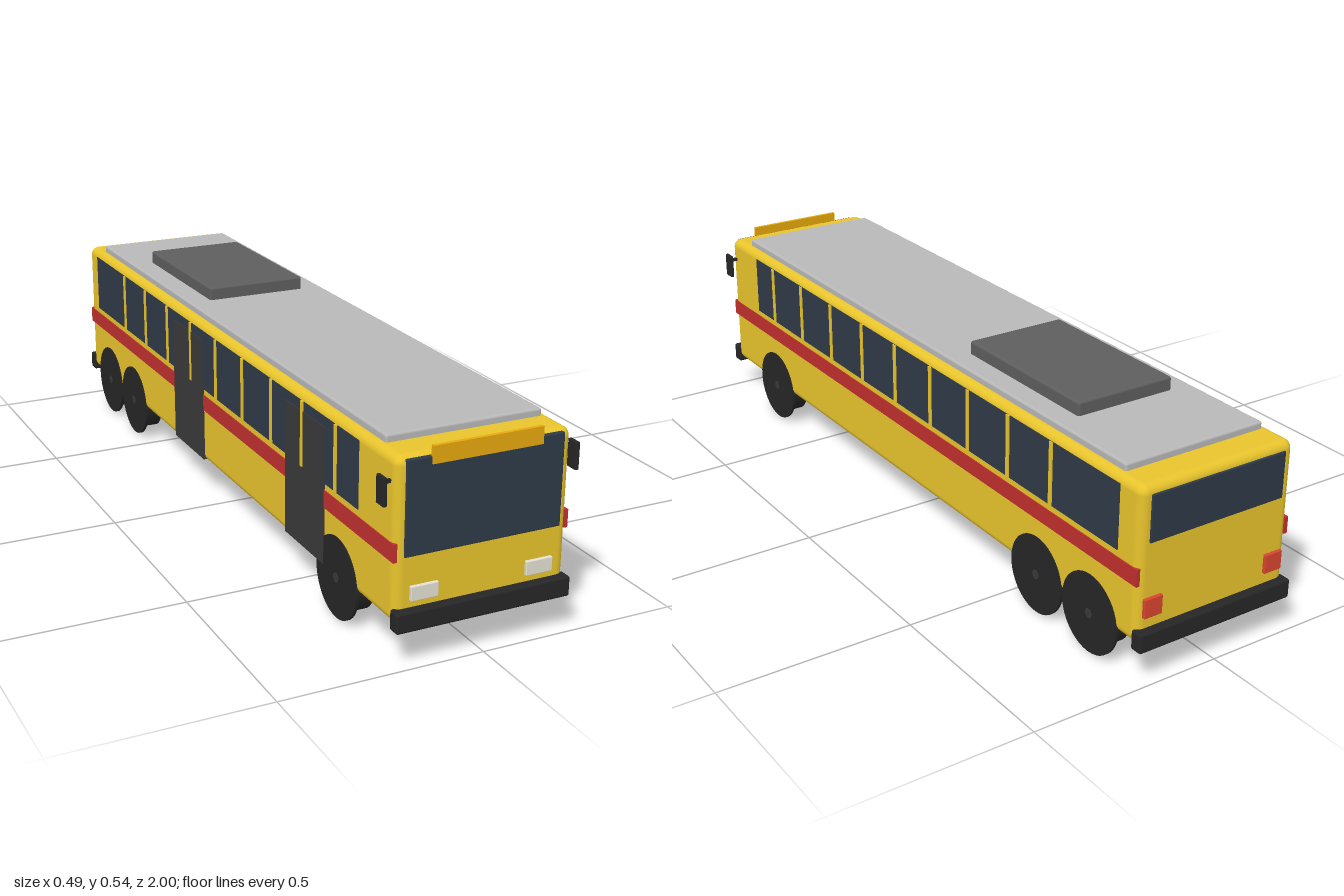
import * as THREE from 'three';
import { RoundedBoxGeometry } from 'three/addons/geometries/RoundedBoxGeometry.js';

const mat = (color) => new THREE.MeshStandardMaterial({ color });
const paint = mat(0xe8c42c), glass = mat(0x2e3a47), red = mat(0xc0302f), black = mat(0x262626);
const doorGrey = mat(0x3a3a3a), roofGrey = mat(0xb8b8b8), unitGrey = mat(0x5e5e5e);
const amber = mat(0xe6a80c), lamp = mat(0xe4e0d4), tailRed = mat(0xd9452f);

export function createModel() {
  const bus = new THREE.Group();
  bus.name = 'bus';

  // Box from its extents on each axis; r rounds the edges
  function box(name, material, [x0, x1], [y0, y1], [z0, z1], r = 0) {
    const s = [x1 - x0, y1 - y0, z1 - z0];
    const geo = r ? new RoundedBoxGeometry(...s, 4, r) : new THREE.BoxGeometry(...s);
    const mesh = new THREE.Mesh(geo, material);
    mesh.name = name;
    mesh.position.set((x0 + x1) / 2, (y0 + y1) / 2, (z0 + z1) / 2);
    bus.add(mesh);
    return mesh;
  }
  // Same box on the given side (+1 left, -1 right)
  const sideBox = (name, m, side, [x0, x1], y, z, r) =>
    box(name, m, side > 0 ? [x0, x1] : [-x1, -x0], y, z, r);

  // Cylinder lying along x
  function disc(name, material, radius, x0, x1, y, z, side) {
    const geo = new THREE.CylinderGeometry(radius, radius, x1 - x0, 40);
    geo.rotateZ(Math.PI / 2);
    const mesh = new THREE.Mesh(geo, material);
    mesh.name = name;
    mesh.position.set(side * (x0 + x1) / 2, y, z);
    bus.add(mesh);
  }

  // Body and roof
  box('body', paint, [-0.217, 0.217], [0.1, 0.485], [-0.978, 0.978], 0.022);
  box('roofPanel', roofGrey, [-0.195, 0.195], [0.475, 0.503], [-0.895, 0.89], 0.006);
  box('roofUnit', unitGrey, [-0.136, 0.136], [0.495, 0.537], [-0.648, -0.204], 0.006);

  // Front and rear faces
  box('windshield', glass, [-0.195, 0.195], [0.257, 0.478], [0.965, 0.983], 0.003);
  box('destinationSign', amber, [-0.136, 0.136], [0.462, 0.503], [0.979, 0.988]);
  box('rearWindow', glass, [-0.19, 0.19], [0.348, 0.465], [-0.982, -0.965], 0.003);
  box('frontBumper', black, [-0.22, 0.22], [0.088, 0.137], [0.966, 1], 0.006);
  box('rearBumper', black, [-0.22, 0.22], [0.088, 0.137], [-1, -0.966], 0.006);

  for (const side of [1, -1]) {
    sideBox('headlight', lamp, side, [0.111, 0.179], [0.153, 0.188], [0.97, 0.986], 0.002);
    sideBox('taillight', tailRed, side, [0.15, 0.2], [0.165, 0.213], [-0.986, -0.97], 0.002);

    // Side windows with pillars, and the stripe below
    sideBox('sideGlass', glass, side, [0.21, 0.2185], [0.306, 0.467], [-0.906, 0.813]);
    for (let i = 0; i < 9; i++) {
      const z = 0.705 - i * 0.1706;
      sideBox('windowPillar', paint, side, [0.21, 0.2215], [0.306, 0.467], [z - 0.006, z + 0.006]);
    }
    sideBox('stripe', red, side, [0.21, 0.2195], [0.247, 0.29], [-0.976, 0.976]);

    // Mirrors
    sideBox('mirrorArm', black, side, [0.21, 0.24], [0.423, 0.431], [0.948, 0.956]);
    sideBox('mirror', black, side, [0.234, 0.244], [0.377, 0.443], [0.938, 0.972], 0.003);

    // Wheels: inner tyre, thin outer disc and hub
    for (const z of [0.715, -0.61, -0.815]) {
      disc('tyre', black, 0.082, 0.163, 0.214, 0.1, z, side);
      disc('wheelDisc', black, 0.1, 0.212, 0.2195, 0.1, z, side);
      disc('hub', doorGrey, 0.012, 0.215, 0.2205, 0.1, z, side);
    }
  }

  // Doors on the right side
  for (const [z0, z1] of [[0.445, 0.65], [-0.27, -0.065]])
    sideBox('door', doorGrey, -1, [0.205, 0.2205], [0.106, 0.443], [z0, z1]);

  return bus;
}
